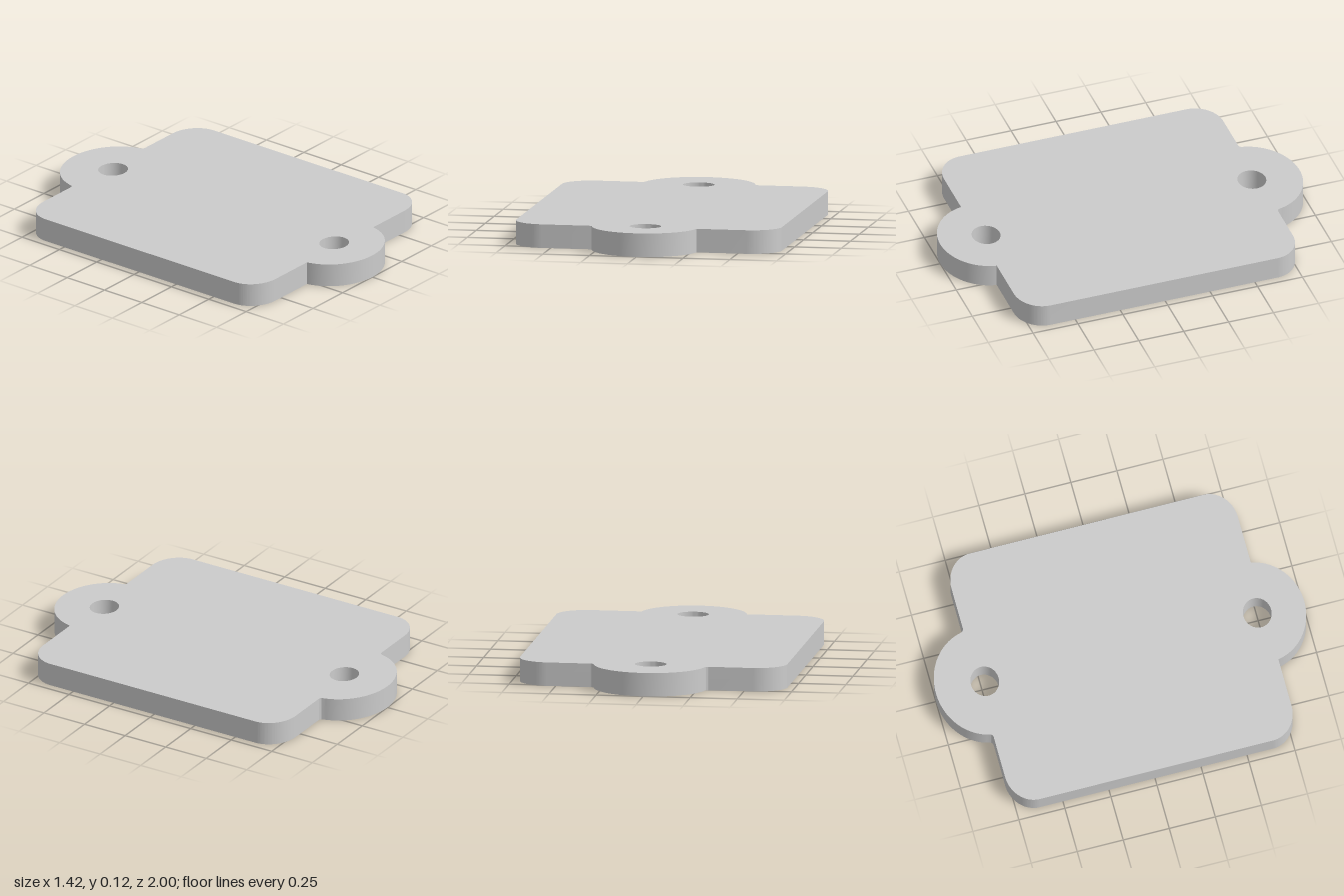
import * as THREE from 'three';
import { toCreasedNormals } from 'three/addons/utils/BufferGeometryUtils.js';

const H = 0.125, FLOOR = 0.07, PI = Math.PI;

// Sample a path into a closed loop without repeated points (plan Y = -z)
function loop(path) {
  const pts = path.getPoints(28);
  return pts.filter((p, i) => p.distanceTo(pts[(i + 1) % pts.length]) > 1e-4);
}

// Plate outline: rounded rectangle with a lug at each end
function outline() {
  const s = new THREE.Path();
  const a = Math.asin(0.2), b = Math.asin(0.157);
  s.moveTo(0.71, 0.625);
  s.absellipse(0.545, 0.625, 0.165, 0.145, 0, PI / 2);
  s.lineTo(0.315, 0.77);
  s.quadraticCurveTo(0.298, 0.77, 0.294, 0.788);
  s.absellipse(0, 0.735, 0.3, 0.265, a, PI - a);
  s.quadraticCurveTo(-0.298, 0.77, -0.315, 0.77);
  s.lineTo(-0.545, 0.77);
  s.absellipse(-0.545, 0.625, 0.165, 0.145, PI / 2, PI);
  s.absellipse(-0.545, -0.64, 0.165, 0.145, PI, 1.5 * PI);
  s.absellipse(0, -0.745, 0.283, 0.255, PI + b, 2 * PI - b);
  s.absellipse(0.545, -0.64, 0.165, 0.145, 1.5 * PI, 2 * PI);
  return loop(s);
}

// Underside recess, notched by a half-round boss around each hole
function recess() {
  const s = new THREE.Path();
  const c = Math.asin(0.304), bx = 0.125 * Math.cos(c);
  const corner = (x, y, q) => s.absellipse(x, y, 0.125, 0.108, q * PI / 2, (q + 1) * PI / 2);
  s.moveTo(0.67, 0.622);
  corner(0.545, 0.622, 0);
  s.lineTo(0.15, 0.73);
  s.quadraticCurveTo(0.122, 0.73, bx, 0.70);
  s.absellipse(0, 0.735, 0.125, 0.115, -c, c - PI, true);
  s.quadraticCurveTo(-0.122, 0.73, -0.15, 0.73);
  corner(-0.545, 0.622, 1);
  corner(-0.545, -0.637, 2);
  s.lineTo(-0.15, -0.745);
  s.quadraticCurveTo(-0.122, -0.745, -bx, -0.71);
  s.absellipse(0, -0.745, 0.125, 0.115, PI - c, c, true);
  s.quadraticCurveTo(0.122, -0.745, 0.15, -0.745);
  corner(0.545, -0.637, 3);
  return loop(s);
}

function hole(y) {
  return loop(new THREE.Path().absellipse(0, y, 0.083, 0.075, 0, 2 * PI));
}

// Flat face at height y, facing up or down
function cap(points, holes, y, up) {
  const shape = new THREE.Shape(points);
  shape.holes = holes.map(h => new THREE.Path(h));
  const g = new THREE.ShapeGeometry(shape);
  if (!up) g.index.array.reverse();
  g.rotateX(-PI / 2).translate(0, y, 0);
  g.computeVertexNormals();
  return g;
}

// Vertical wall along a counter-clockwise loop, facing out or in
function wall(points, y0, y1, inward = false) {
  const ring = inward ? [...points].reverse() : points;
  const pos = [];
  ring.forEach((p, i) => {
    const q = ring[(i + 1) % ring.length];
    pos.push(p.x, y0, -p.y, q.x, y0, -q.y, q.x, y1, -q.y);
    pos.push(p.x, y0, -p.y, q.x, y1, -q.y, p.x, y1, -p.y);
  });
  const g = new THREE.BufferGeometry();
  g.setAttribute('position', new THREE.Float32BufferAttribute(pos, 3));
  return toCreasedNormals(g, 0.5);
}

export function createModel() {
  const group = new THREE.Group();
  group.name = 'coverPlate';
  const material = new THREE.MeshStandardMaterial({ color: 0xcccccc });
  const add = (name, geometry) => {
    const mesh = new THREE.Mesh(geometry, material);
    mesh.name = name;
    group.add(mesh);
  };

  const outer = outline(), inner = recess();
  const holes = [hole(0.735), hole(-0.745)];

  add('topFace', cap(outer, holes, H, true));
  add('outerWall', wall(outer, 0, H));
  add('bottomRim', cap(outer, [inner, ...holes], 0, false));
  add('recessWall', wall(inner, 0, FLOOR, true));
  add('recessFloor', cap(inner, [], FLOOR, false));
  add('backHoleWall', wall(holes[0], 0, H, true));
  add('frontHoleWall', wall(holes[1], 0, H, true));
  return group;
}
